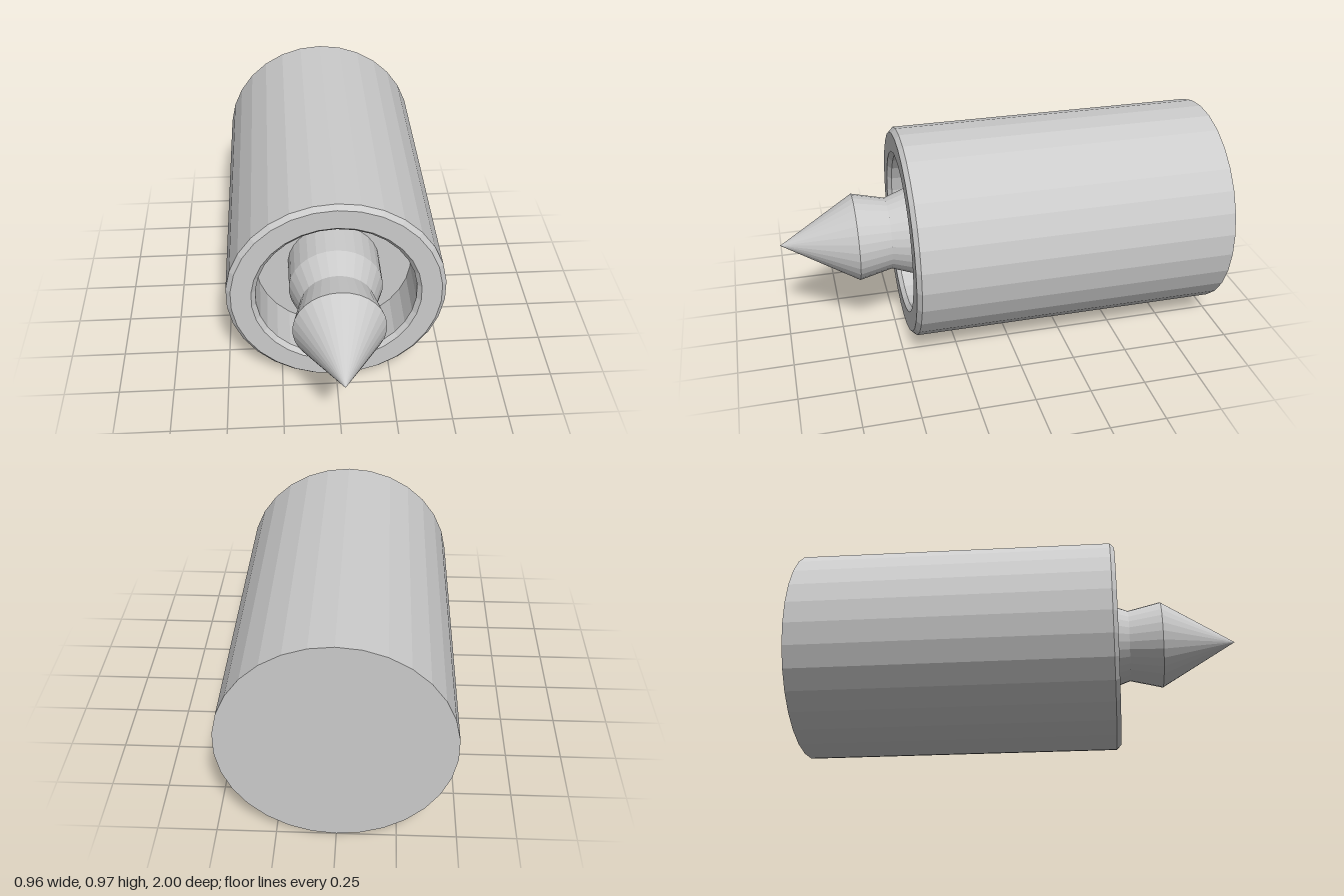
import * as THREE from 'three';

const SIDES = 30;
const AXIS_HEIGHT = 0.485;

// Turns a profile of [radius, z] pairs around the horizontal z axis
function turned(name, profile, material) {
  const points = profile.map(([r, z]) => new THREE.Vector2(r, z));
  const geometry = new THREE.LatheGeometry(points, SIDES);
  geometry.rotateX(Math.PI / 2);
  const mesh = new THREE.Mesh(geometry, material);
  mesh.name = name;
  mesh.position.y = AXIS_HEIGHT;
  return mesh;
}

export function createModel() {
  const group = new THREE.Group();
  group.name = 'pointedSpindle';
  const material = new THREE.MeshStandardMaterial({ color: 0xcccccc, flatShading: true });

  // Housing: closed back, chamfered front rim, bevelled recess with a flat floor
  group.add(turned('housing', [
    [0, -1], [0.485, -1], [0.485, 0.435], [0.465, 0.455],
    [0.375, 0.455], [0.356, 0.435], [0.356, 0.21], [0, 0.21],
  ], material));

  // Spindle: shaft out of the recess, narrow neck, flared shoulder, cone point
  group.add(turned('spindle', [
    [0.208, 0.2], [0.208, 0.39], [0.165, 0.51], [0.2, 0.66], [0, 1],
  ], material));

  return group;
}
